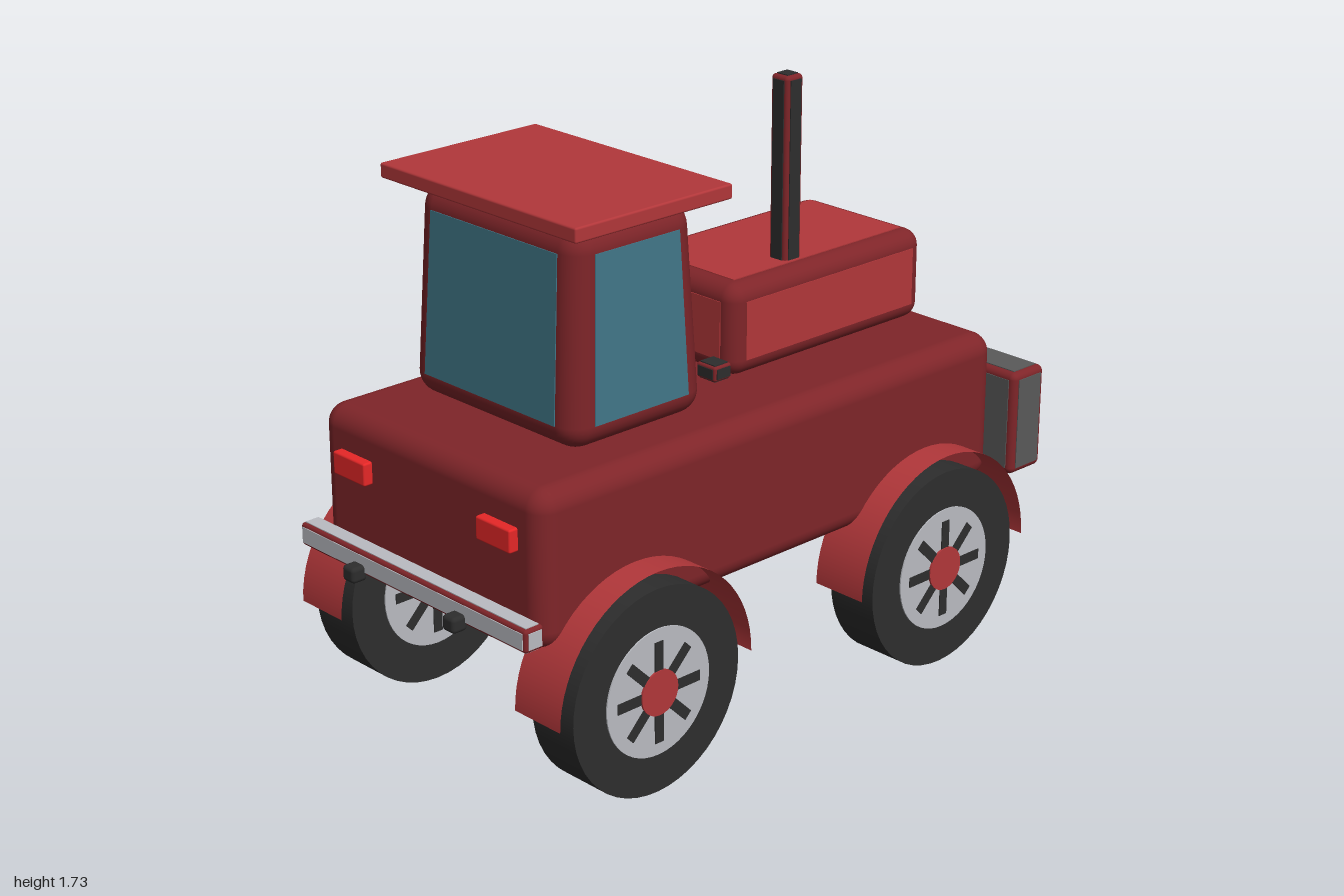
import * as THREE from 'three';
import { RoundedBoxGeometry } from 'three/addons/geometries/RoundedBoxGeometry.js';

const paint = (name, color, side = THREE.FrontSide) => {
  const m = new THREE.MeshStandardMaterial({ color, side });
  m.name = name;
  return m;
};

export function createModel() {
  const model = new THREE.Group();
  model.name = 'tractor';

  const darkRed = paint('dark red', 0x7f2529);
  const red = paint('red', 0xb2373a, THREE.DoubleSide);
  const black = paint('black', 0x2d2d2d);
  const grey = paint('blade grey', 0x5a5a5a);
  const silver = paint('silver', 0xbabcc2);
  const glass = paint('glass', 0x427889);
  const lampRed = paint('lamp red', 0xf52a2a);

  const add = (parent, name, geometry, material, x = 0, y = 0, z = 0) => {
    const mesh = new THREE.Mesh(geometry, material);
    mesh.name = name;
    mesh.position.set(x, y, z);
    parent.add(mesh);
    return mesh;
  };

  // narrows a geometry towards the top
  const taper = (geometry, kx, kz) => {
    const p = geometry.attributes.position;
    for (let i = 0; i < p.count; i++) {
      const y = p.getY(i);
      p.setX(i, p.getX(i) * (1 - kx * y));
      p.setZ(i, p.getZ(i) * (1 - kz * y));
    }
    return geometry;
  };

  // rounded dark red shell whose flat faces carry thin coloured panels
  const panelled = (name, size, radius, material, centre, axes = 'xyz', kx = 0, kz = 0) => {
    const part = new THREE.Group();
    part.name = name;
    part.position.set(...centre);
    add(part, name + 'Shell', taper(new RoundedBoxGeometry(...size, 4, radius), kx, kz), darkRed);
    for (const axis of axes) {
      const dims = size.map((s, i) => ('xyz'[i] === axis ? s + 0.005 : s - 2 * radius));
      add(part, name + 'Panels', taper(new THREE.BoxGeometry(...dims), kx, kz), material);
    }
    model.add(part);
    return part;
  };

  // chassis body, hood, cab and roof
  add(model, 'body', new RoundedBoxGeometry(1.745, 0.45, 0.91, 5, 0.06), darkRed, -0.015, 0.695, 0);
  panelled('hood', [0.775, 0.27, 0.46], 0.05, red, [0.398, 1.063, 0]);
  panelled('cab', [0.455, 0.6, 0.657], 0.07, glass, [-0.428, 1.225, 0], 'xz', 0.264, 0.096);
  add(model, 'roof', new RoundedBoxGeometry(0.547, 0.042, 0.78, 2, 0.006), red, -0.427, 1.547, 0);

  // exhaust, front blade and rear bumper
  panelled('exhaust', [0.065, 0.6, 0.065], 0.012, black, [0.306, 1.428, 0.135]);
  panelled('blade', [0.136, 0.315, 1.055], 0.02, grey, [0.928, 0.647, 0]);
  panelled('bumper', [0.064, 0.066, 0.94], 0.01, silver, [-0.926, 0.545, 0]);

  for (const side of [-1, 1]) {
    // lamps, tow hooks and mirrors
    add(model, 'headlight', new THREE.BoxGeometry(0.04, 0.11, 0.14), silver, 0.868, 0.753, side * 0.29);
    add(model, 'tailLamp', new RoundedBoxGeometry(0.035, 0.066, 0.135, 2, 0.006), lampRed, -0.898, 0.776, side * 0.298);
    add(model, 'towHook', new RoundedBoxGeometry(0.05, 0.046, 0.05, 3, 0.012), black, -0.975, 0.52, side * 0.21);
    add(model, 'towBar', new THREE.BoxGeometry(0.1, 0.014, 0.04), black, -0.92, 0.505, side * 0.21);
    panelled('mirror', [0.062, 0.042, 0.07], 0.007, black, [-0.224, 1.072, side * 0.395]);

    for (const x of [-0.566, 0.559]) {
      // wheel with spokes on both faces
      const wheel = new THREE.Group();
      wheel.name = 'wheel';
      wheel.position.set(x, 0.297, side * 0.46);
      const disc = (name, r, width, material) =>
        add(wheel, name, new THREE.CylinderGeometry(r, r, width, 48).rotateX(Math.PI / 2), material);
      disc('tire', 0.297, 0.16, black);
      disc('rim', 0.184, 0.168, silver);
      disc('hub', 0.065, 0.18, red);
      for (let i = 0; i < 8; i++) {
        const spoke = new THREE.BoxGeometry(0.095, 0.03, 0.174).translate(0.1, 0, 0);
        add(wheel, 'spoke', spoke.rotateZ((i * Math.PI) / 4), black);
      }
      model.add(wheel);

      // open half-round fender
      const arch = new THREE.CylinderGeometry(0.344, 0.344, 0.176, 32, 1, true, Math.PI / 2, Math.PI);
      add(model, 'fender', arch.rotateX(Math.PI / 2), red, x, 0.3, side * 0.455);
    }
  }
  return model;
}
